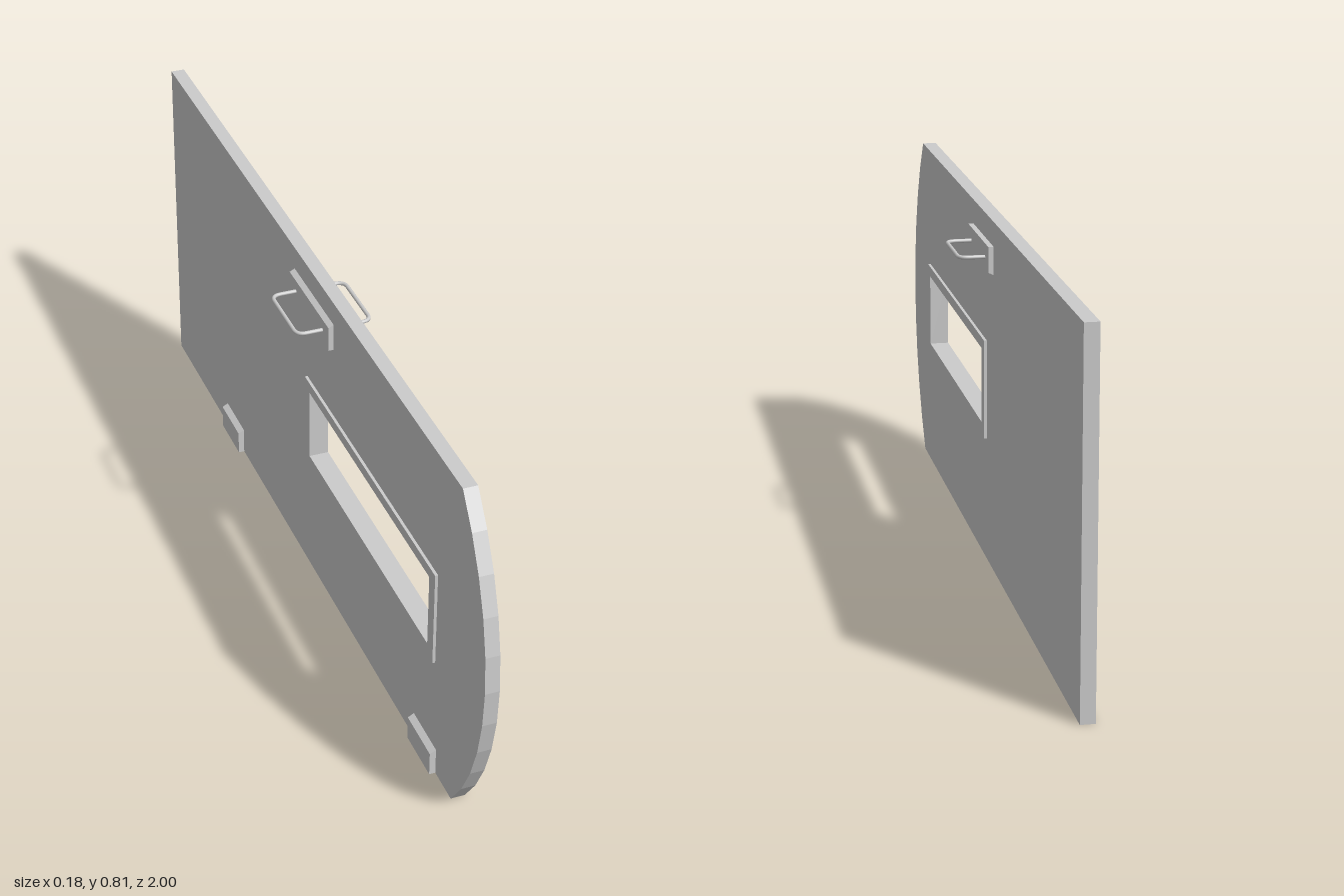
import * as THREE from 'three';

const grey = new THREE.MeshStandardMaterial({ color: 0xcccccc });
const HEIGHT = 0.81, HALF_T = 0.016;

function mesh(name, geometry) {
  const m = new THREE.Mesh(geometry, grey);
  m.name = name;
  return m;
}

// Rectangular outline in (-z, y) space
function rect(Type, z0, z1, y0, y1) {
  return new Type([[-z1, y0], [-z0, y0], [-z0, y1], [-z1, y1]].map(([a, b]) => new THREE.Vector2(a, b)));
}

// Extrude a (-z, y) shape across x, centred on x = 0
function slab(shape, thickness) {
  return new THREE.ExtrudeGeometry(shape, { depth: thickness, bevelEnabled: false })
    .translate(0, 0, -thickness / 2).rotateY(Math.PI / 2);
}

// Extrude an (x, y) profile from z0 to z1
function bar(points, z0, z1) {
  const shape = new THREE.Shape(points.map(([x, y]) => new THREE.Vector2(x, y)));
  return new THREE.ExtrudeGeometry(shape, { depth: z1 - z0, bevelEnabled: false }).translate(0, 0, z0);
}

// U-shaped grip with rounded corners, reaching out along -x
function gripGeometry() {
  const z0 = -0.061, z1 = 0.107, out = -0.086, r = 0.022;
  const v = (x, z) => new THREE.Vector3(x, 0, z);
  const path = new THREE.CurvePath();
  path.add(new THREE.LineCurve3(v(-0.02, z0), v(out + r, z0)));
  path.add(new THREE.QuadraticBezierCurve3(v(out + r, z0), v(out, z0), v(out, z0 + r)));
  path.add(new THREE.LineCurve3(v(out, z0 + r), v(out, z1 - r)));
  path.add(new THREE.QuadraticBezierCurve3(v(out, z1 - r), v(out, z1), v(out + r, z1)));
  path.add(new THREE.LineCurve3(v(out + r, z1), v(-0.02, z1)));
  return new THREE.TubeGeometry(path, 64, 0.0045, 10, false);
}

// Chamfered backing plate with its grip, built for the -x side
function makeHandle(name) {
  const handle = new THREE.Group();
  handle.name = name;
  const profile = [[-0.028, -0.031], [-0.014, -0.031], [-0.014, 0.034], [-0.028, 0.027]];
  handle.add(mesh('handlePlate', bar(profile, -0.102, 0.145)));
  handle.add(mesh('handleGrip', gripGeometry()));
  handle.position.y = 0.723;
  return handle;
}

export function createModel() {
  const group = new THREE.Group();
  group.name = 'hatchPanel';

  // Panel with faceted arc at the front end
  const mid = HEIGHT / 2, sag = 0.145, segments = 10;
  const radius = (mid * mid + sag * sag) / (2 * sag);
  const half = Math.asin(mid / radius);
  const outline = [new THREE.Vector2(1, 0), new THREE.Vector2(1, HEIGHT)];
  for (let i = 0; i <= segments; i++) {
    const a = half - (2 * half * i) / segments;
    outline.push(new THREE.Vector2(-(1 - radius + radius * Math.cos(a)), mid + radius * Math.sin(a)));
  }
  const panel = new THREE.Shape(outline);
  panel.holes.push(rect(THREE.Path, 0, 0.73, 0.31, 0.505));
  group.add(mesh('panel', slab(panel, HALF_T * 2)));

  // Window frame standing proud on both faces
  const frame = rect(THREE.Shape, -0.02, 0.75, 0.29, 0.52);
  frame.holes.push(rect(THREE.Path, 0.01, 0.72, 0.32, 0.495));
  group.add(mesh('windowFrame', slab(frame, 0.045)));

  // Handles, one per face, the left one turned half round
  const rightHandle = makeHandle('rightHandle');
  const leftHandle = makeHandle('leftHandle');
  leftHandle.rotation.z = Math.PI;
  group.add(rightHandle, leftHandle);

  // Hinge blocks along the lower edge
  const hinge = [[-0.03, 0], [-0.014, 0], [-0.014, 0.066], [-0.03, 0.057]];
  group.add(mesh('rearHinge', bar(hinge, -0.61, -0.485)));
  group.add(mesh('frontHinge', bar(hinge, 0.645, 0.77)));

  return group;
}
